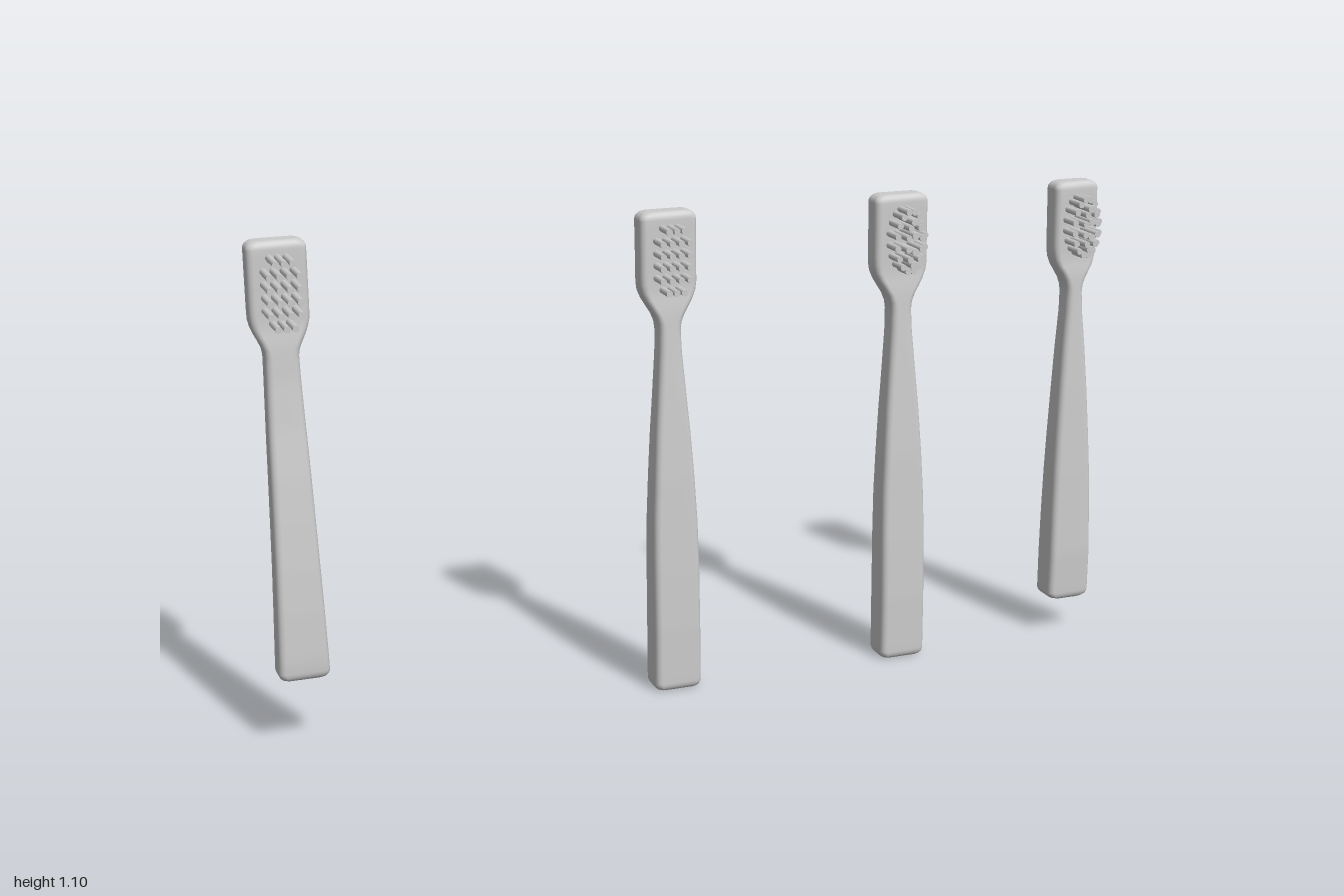
import * as THREE from 'three';

const material = new THREE.MeshStandardMaterial({ color: 0xcccccc, side: THREE.DoubleSide });

// Rounded-rectangle outline at one height: half width w, depth from zb (back) to zf (front)
function section(w, zb, zf, y, radius) {
  const d = (zf - zb) / 2, zc = (zf + zb) / 2, r = Math.min(radius, w * 0.8, d * 0.8);
  const points = [];
  for (let q = 0; q < 4; q++) {
    const sx = q === 0 || q === 3 ? 1 : -1, sz = q < 2 ? 1 : -1;
    for (let k = 0; k <= 4; k++) {
      const a = (q + k / 4) * Math.PI / 2;
      points.push([sx * (w - r) + r * Math.cos(a), y, zc + sz * (d - r) + r * Math.sin(a)]);
    }
  }
  return points;
}

// Linear lookup in rows of [y, value, ...], sorted by rising y
function lookup(rows, y, column) {
  let i = 0;
  while (i < rows.length - 2 && y > rows[i + 1][0]) i++;
  const t = THREE.MathUtils.clamp((y - rows[i][0]) / (rows[i + 1][0] - rows[i][0]), 0, 1);
  return THREE.MathUtils.lerp(rows[i][column], rows[i + 1][column], t);
}

// Handle, neck and head lofted as one body with rounded ends
function bodyGeometry({ bottom, top, widths, depths, endX }) {
  const rings = [];
  const endH = 0.018, steps = 5;
  const add = (y, insetX, insetZ) => rings.push(section(
    lookup(widths, y, 1) - insetX, lookup(depths, y, 1) + insetZ,
    lookup(depths, y, 2) - insetZ, y, 0.014));
  const roundEnd = (y, dir, cornerX) => {
    for (let s = 0; s <= steps; s++) {
      const a = (dir > 0 ? s : steps - s) / steps * Math.PI / 2;
      const inset = 1 - Math.cos(a);
      add(y - dir * endH * (1 - Math.sin(a)), cornerX * inset, 0.012 * inset);
    }
  };
  roundEnd(bottom, -1, endX);
  const n = 60, y0 = bottom + endH, y1 = top - endH;
  for (let i = 1; i < n; i++) add(y0 + (y1 - y0) * i / n, 0, 0);
  roundEnd(top, 1, 0.022);

  const m = rings[0].length, position = rings.flat(2), index = [];
  for (let j = 0; j < rings.length - 1; j++) {
    for (let i = 0; i < m; i++) {
      const a = j * m + i, b = j * m + (i + 1) % m;
      index.push(a, a + m, b, b, a + m, b + m);
    }
  }
  // flat caps with their own vertices
  for (const [ring, up] of [[rings[0], false], [rings[rings.length - 1], true]]) {
    const start = position.length / 3;
    position.push(...ring.flat());
    for (let i = 1; i < m - 1; i++) {
      index.push(start, start + (up ? i + 1 : i), start + (up ? i : i + 1));
    }
  }
  const geometry = new THREE.BufferGeometry();
  geometry.setAttribute('position', new THREE.Float32BufferAttribute(position, 3));
  geometry.setIndex(index);
  geometry.computeVertexNormals();
  return geometry;
}

// Tufts in rows, shorter rows at both ends: [x, y, tip z]
function gridTufts(spacing, tip) {
  const tufts = [];
  for (let row = 0; row < 6; row++) {
    const count = row === 0 || row === 5 ? 3 : 4;
    const step = count === 3 ? spacing * 0.85 : spacing;
    for (let i = 0; i < count; i++) {
      tufts.push([(i - (count - 1) / 2) * step, 0.928 + row * 0.0275, tip]);
    }
  }
  return tufts;
}

// Tufts in nested ovals, the inner ones longer
function ovalTufts(rx, ry) {
  const tufts = [];
  for (const [count, sx, sy, tip] of [[16, 1, 1, 0.036], [12, 0.5, 0.74, 0.058], [4, 0.06, 0.38, 0.058]]) {
    for (let i = 0; i < count; i++) {
      const a = (i + 0.5) / count * Math.PI * 2;
      tufts.push([Math.cos(a) * rx * sx, 1.0 + Math.sin(a) * ry * sy, tip]);
    }
  }
  return tufts;
}

function makeBrush(name, x, spec) {
  const brush = new THREE.Group();
  brush.name = name;
  const body = new THREE.Mesh(bodyGeometry(spec), material);
  body.name = 'handleAndHead';
  brush.add(body);

  const bristles = new THREE.Group();
  bristles.name = 'bristles';
  for (const [tx, ty, tip] of spec.tufts) {
    const root = -0.025;
    const tuft = new THREE.Mesh(new THREE.CylinderGeometry(0.0075, 0.0075, tip - root, 10), material);
    tuft.name = 'tuft';
    tuft.rotation.x = Math.PI / 2;
    tuft.position.set(tx, ty, (tip + root) / 2);
    bristles.add(tuft);
  }
  brush.add(bristles);
  brush.position.x = x;
  return brush;
}

// Outline rows [y, half width]; slim waist under the head
const slimWidths = [
  [0, 0.055], [0.3, 0.054], [0.4, 0.052], [0.5, 0.047], [0.6, 0.041], [0.7, 0.033],
  [0.79, 0.026], [0.84, 0.025], [0.86, 0.029], [0.88, 0.041], [0.9, 0.054], [0.92, 0.063], [0.94, 0.066], [1.1, 0.066]];
const straightWidths = [
  [0.15, 0.056], [0.41, 0.048], [0.68, 0.041], [0.8, 0.037], [0.86, 0.036],
  [0.875, 0.04], [0.89, 0.048], [0.91, 0.058], [0.93, 0.063], [0.95, 0.064], [1.1, 0.064]];
const narrowWidths = [
  [0.08, 0.054], [0.2, 0.053], [0.3, 0.051], [0.4, 0.048], [0.5, 0.043], [0.6, 0.037], [0.7, 0.03],
  [0.79, 0.022], [0.84, 0.02], [0.86, 0.023], [0.88, 0.033], [0.9, 0.046], [0.92, 0.053], [0.94, 0.056], [1.1, 0.056]];

// Side rows [y, back z, front z]
const headDepth = [[0.88, -0.06, -0.004], [0.92, -0.065, -0.01], [1.0, -0.067, -0.012], [1.1, -0.071, -0.014]];
const middleDepths = [
  [0, -0.032, 0.044], [0.15, -0.035, 0.043], [0.3, -0.038, 0.037], [0.5, -0.044, 0.026],
  [0.65, -0.048, 0.014], [0.8, -0.055, 0.002], ...headDepth];
const bentDepths = [
  [0.15, 0.002, 0.069], [0.2, 0.0, 0.07], [0.3, -0.005, 0.064], [0.4, -0.011, 0.055], [0.5, -0.02, 0.043],
  [0.6, -0.03, 0.03], [0.7, -0.042, 0.014], [0.8, -0.054, 0.002], ...headDepth];
const straightDepths = [
  [0.08, -0.045, 0.028], [0.2, -0.047, 0.03], [0.4, -0.048, 0.023], [0.6, -0.05, 0.012],
  [0.8, -0.055, 0.0], ...headDepth];

export function createModel() {
  const model = new THREE.Group();
  model.name = 'toothbrushes';
  model.add(
    makeBrush('bentBrush', -0.936, {
      bottom: 0.157, top: 1.1, widths: straightWidths, depths: bentDepths, endX: 0.016,
      tufts: gridTufts(0.021, 0.058) }),
    makeBrush('longGridBrush', -0.072, {
      bottom: 0, top: 1.1, widths: slimWidths, depths: middleDepths, endX: 0.013,
      tufts: gridTufts(0.021, 0.036) }),
    makeBrush('longOvalBrush', 0.493, {
      bottom: 0, top: 1.1, widths: slimWidths, depths: middleDepths, endX: 0.013,
      tufts: ovalTufts(0.034, 0.069) }),
    makeBrush('narrowOvalBrush', 0.944, {
      bottom: 0.083, top: 1.1, widths: narrowWidths, depths: straightDepths, endX: 0.026,
      tufts: ovalTufts(0.031, 0.066) }));
  return model;
}
